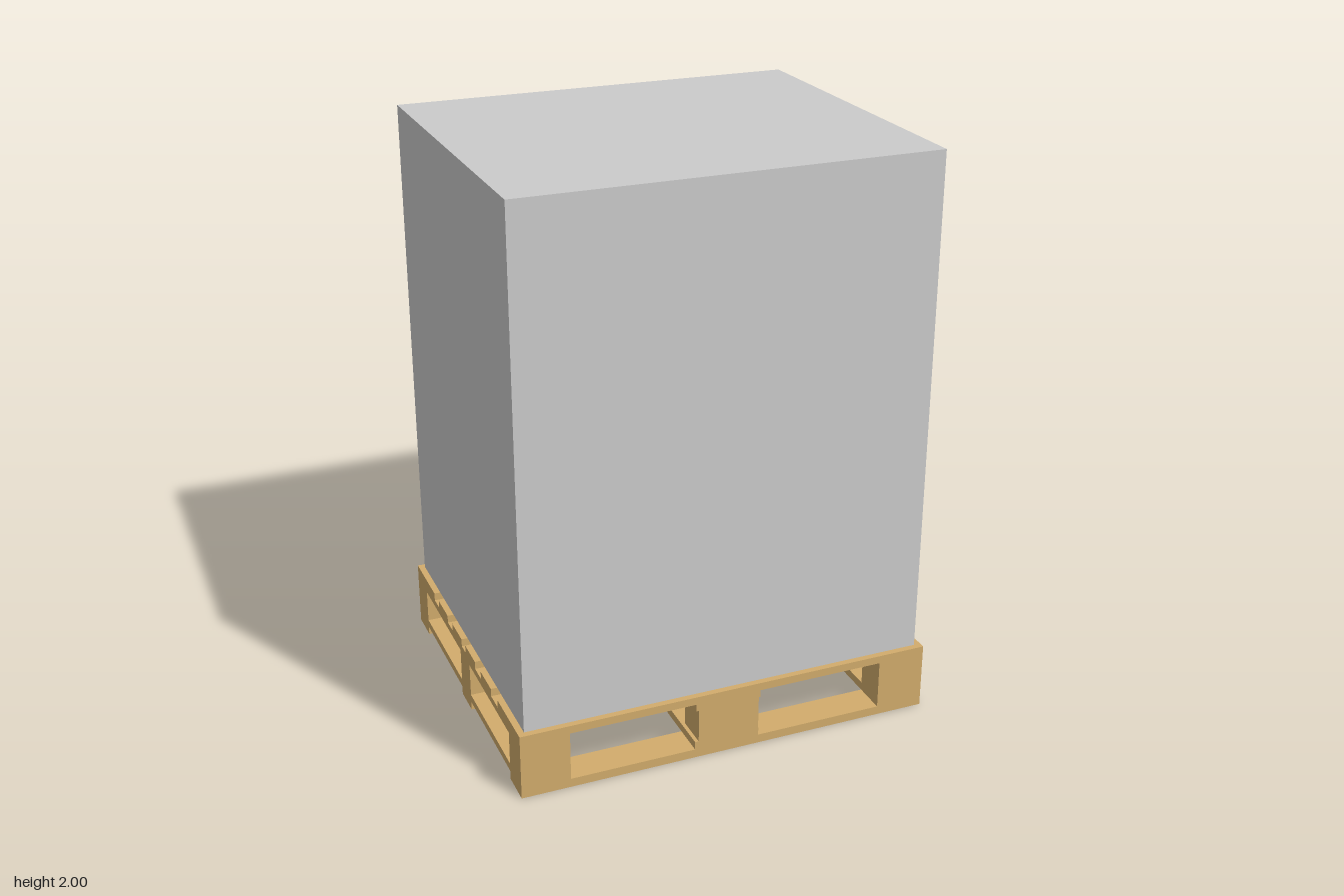
import * as THREE from 'three';

export function createModel() {
  const model = new THREE.Group();
  const wood = new THREE.MeshStandardMaterial({ color: 0xd2ac6c });
  const grey = new THREE.MeshStandardMaterial({ color: 0xcccccc });

  // Box given by its [min, max] extent on each axis
  function slab(parent, name, [x0, x1], [y0, y1], [z0, z1], material = wood) {
    const mesh = new THREE.Mesh(new THREE.BoxGeometry(x1 - x0, y1 - y0, z1 - z0), material);
    mesh.position.set((x0 + x1) / 2, (y0 + y1) / 2, (z0 + z1) / 2);
    mesh.name = name;
    parent.add(mesh);
  }

  const pallet = new THREE.Group();
  pallet.name = 'pallet';
  model.add(pallet);

  const X = 0.735, Z = 0.617;
  const rows = [[-Z, -0.5], [-0.055, 0.055], [0.5, Z]];
  const sides = [[-X, -0.565], [0.565, X]];

  // Bottom runners along x
  for (const z of rows) slab(pallet, 'bottomRunner', [-X, X], [0, 0.031], z);

  // Lower and upper cross boards along z
  for (const x of [sides[0], [-0.125, 0.108], sides[1]])
    slab(pallet, 'lowerCrossBoard', x, [0.031, 0.06], [-Z, Z]);
  for (const x of [sides[0], [-0.122, 0.113], sides[1]])
    slab(pallet, 'upperCrossBoard', x, [0.18, 0.206], [-Z, Z]);

  // Nine spacer blocks
  for (const x of [sides[0], [-0.112, 0.107], sides[1]])
    for (const z of rows) slab(pallet, 'spacerBlock', x, [0.06, 0.18], z);

  // Deck boards along x, with uneven gaps
  const deck = [
    [-Z, -0.385], [-0.327, -0.211], [-0.151, -0.035],
    [0.01, 0.126], [0.194, 0.31], [0.384, Z],
  ];
  for (const z of deck) slab(pallet, 'deckBoard', [-X, X], [0.206, 0.234], z);

  // Cargo box on the deck
  slab(model, 'cargoBox', [-0.713, 0.711], [0.234, 2], [-0.597, 0.595], grey);

  return model;
}
